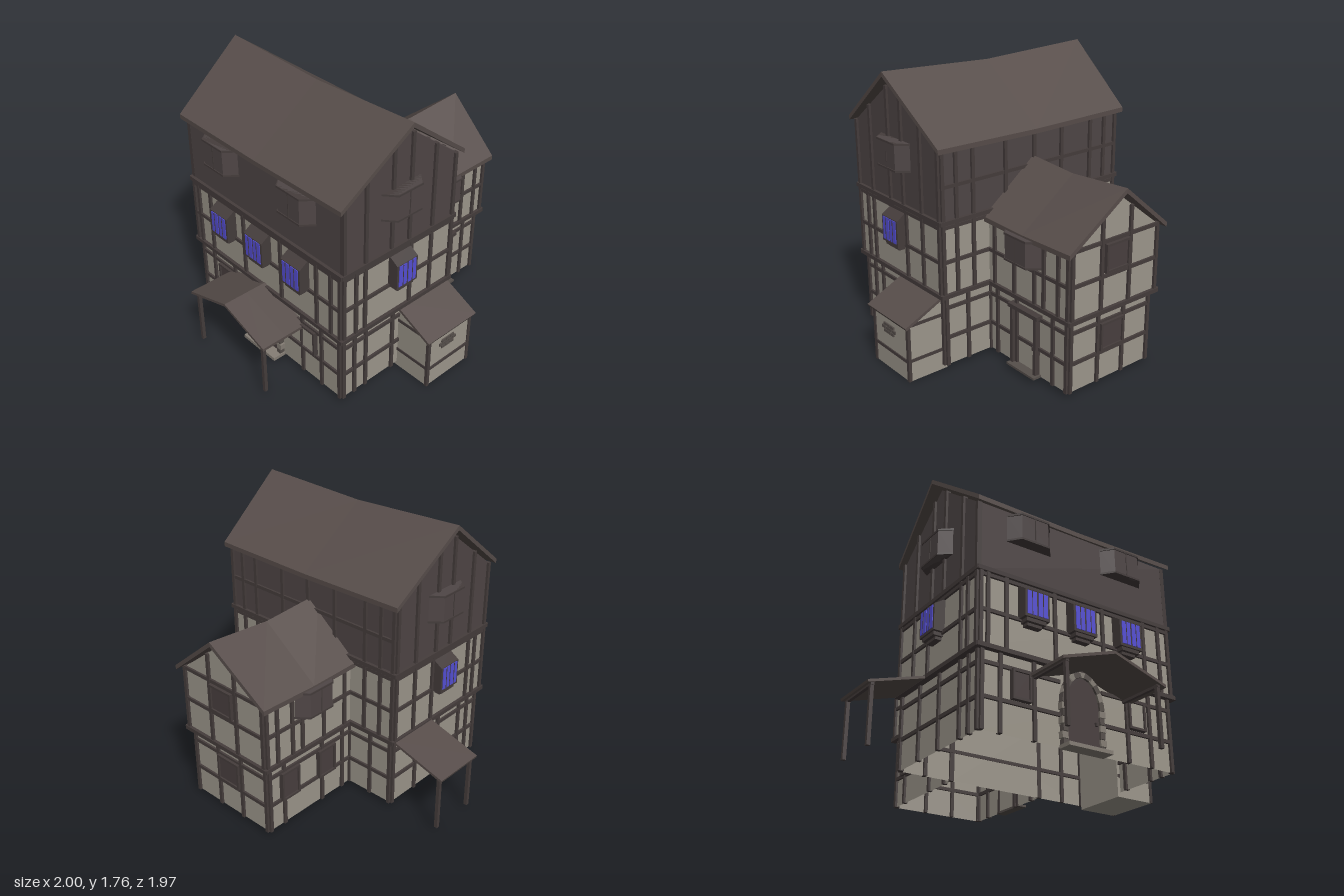
import * as THREE from 'three';

const mat = (name, color, side = THREE.FrontSide) => {
  const m = new THREE.MeshStandardMaterial({ color, side });
  m.name = name;
  return m;
};
const M = {
  plaster: mat('plaster', 0x9d978c, THREE.DoubleSide),
  boards: mat('dark boards', 0x4f4646, THREE.DoubleSide),
  beam: mat('timber', 0x453d3c),
  roof: mat('roof shingles', 0x574d4a),
  glass: mat('blue glass', 0x5650d6),
  door: mat('door wood', 0x493f3f),
  stone: mat('stone', 0x857e75),
  darkStone: mat('dark stone', 0x564f4b),
};

const CX = 0.055, CZ = 0.24; // centre of the main block

function add(parent, name, geo, material) {
  const m = new THREE.Mesh(geo, material);
  m.name = name;
  parent.add(m);
  return m;
}
// Box given by its centre and size
function box(parent, name, material, x, y, z, w, h, d) {
  const m = add(parent, name, new THREE.BoxGeometry(w, h, d), material);
  m.position.set(x, y, z);
  return m;
}
function extrude(points, depth) {
  const s = new THREE.Shape(points.map(p => new THREE.Vector2(...p)));
  return new THREE.ExtrudeGeometry(s, { depth, bevelEnabled: false });
}
// Side profile (z, y) swept across x, centred
const prism = (points, w) => extrude(points, w).rotateY(-Math.PI / 2).translate(w / 2, 0, 0);

// Sagging gable roof: ridge along x, longer at the ridge than at the eaves
function roofGeometry(ridgeHalf, eaveHalf, w, eaveY, ridgeY, sag, t) {
  const section = k => {
    const r = ridgeHalf * k, e = eaveHalf * k, ry = ridgeY - sag * (1 - Math.abs(k)), ey = eaveY - sag * 0.3 * (1 - Math.abs(k));
    return [[e, ey, w], [r, ry, 0], [e, ey, -w], [e, ey - t, -w], [r, ry - t, 0], [e, ey - t, w]];
  };
  const pos = [], quad = (a, b, c, d) => pos.push(...a, ...b, ...c, ...a, ...c, ...d);
  const S = [-1, 0, 1].map(section);
  for (let i = 0; i < 2; i++)
    for (let j = 0; j < 6; j++) {
      const n = (j + 1) % 6;
      quad(S[i][j], S[i + 1][j], S[i + 1][n], S[i][n]);
    }
  const [a, , b] = S;
  quad(a[0], a[1], a[4], a[5]);
  quad(a[1], a[2], a[3], a[4]);
  quad(b[5], b[4], b[1], b[0]);
  quad(b[4], b[3], b[2], b[1]);
  const g = new THREE.BufferGeometry();
  g.setAttribute('position', new THREE.Float32BufferAttribute(pos, 3));
  g.computeVertexNormals();
  return g;
}
// Thin sloping lean-to roof between two (x, y) points
function slab(parent, name, x0, y0, x1, y1, z, d, t) {
  const m = box(parent, name, M.roof, (x0 + x1) / 2, (y0 + y1) / 2, z, Math.hypot(x1 - x0, y1 - y0), t, d);
  m.rotation.z = Math.atan2(y1 - y0, x1 - x0);
}
// Wall frame of reference: local x runs along the wall, local z points outward
function face(parent, name, x, z, ry) {
  const g = new THREE.Group();
  g.name = name;
  g.position.set(x, 0, z);
  g.rotation.y = ry;
  parent.add(g);
  return g;
}
// Timber framing of one wall: corner posts, studs, rails
function framing(g, half, y0, y1, studs, rails, top = () => y1) {
  for (const u of [-half + 0.01, ...studs, half - 0.01]) {
    const h = top(u) - y0;
    box(g, 'stud', M.beam, u, y0 + h / 2, 0, 0.022, h, 0.03);
  }
  for (const y of rails) box(g, 'rail', M.beam, 0, y, 0, half * 2, 0.022, 0.026);
}
const band = (g, half, y) => box(g, 'floorBeam', M.beam, 0, y, 0, half * 2 + 0.03, 0.026, 0.04);

// Small projecting window with two blue panes
function bayWindow(parent, u) {
  const g = face(parent, 'bayWindow', u, 0, 0);
  add(g, 'bayCase', prism([[0, 0.71], [0.07, 0.71], [0.07, 0.875], [0, 0.92]], 0.165), M.beam);
  for (const s of [-1, 1]) box(g, 'pane', M.glass, s * 0.037, 0.798, 0.071, 0.062, 0.145, 0.006);
  for (const s of [-1, 1]) box(g, 'glazingBar', M.beam, s * 0.037, 0.798, 0.073, 0.004, 0.145, 0.006);
  box(g, 'bracket', M.beam, 0, 0.7, 0.03, 0.13, 0.025, 0.06);
  box(g, 'bracketFoot', M.beam, 0, 0.68, 0.02, 0.1, 0.02, 0.04);
}
// Shuttered window with splayed sides
function oriel(parent, u, y, h) {
  const g = face(parent, 'oriel', u, 0, 0);
  const plan = (a, b, d) => [[-a, 0], [a, 0], [b, -d], [-b, -d]].reverse();
  const put = (name, m, p, y0, hh) => add(g, name, extrude(p, hh).rotateX(-Math.PI / 2).translate(0, y0, 0), m);
  put('orielCase', M.boards, plan(0.15, 0.09, 0.068), y, h);
  put('orielSill', M.beam, plan(0.155, 0.095, 0.073), y, 0.012);
  put('orielHead', M.beam, plan(0.155, 0.095, 0.073), y + h - 0.012, 0.012);
  box(g, 'centrePost', M.beam, 0, y + h / 2, 0.068, 0.006, h, 0.006);
}
// Flat framed window
function flatWindow(g, u, y0, w, h, material) {
  box(g, 'shutter', material, u, y0 + h / 2, 0.015, w, h, 0.009);
  for (const s of [-1, 1]) {
    box(g, 'windowJamb', M.beam, u + s * w / 2, y0 + h / 2, 0.015, 0.014, h, 0.03);
    box(g, 'windowRail', M.beam, u, y0 + h / 2 + s * h / 2, 0.015, w + 0.014, 0.014, 0.03);
  }
}
// Arched front door in a stone surround
function archDoor(g, u) {
  const d = face(g, 'frontDoor', u, 0, 0);
  const pts = [[-0.115, 0.03], [0.115, 0.03]];
  for (let i = 0; i <= 12; i++) {
    const a = Math.PI * i / 12;
    pts.push([0.115 * Math.cos(a), 0.28 + 0.18 * Math.sin(a)]);
  }
  add(d, 'doorLeaf', extrude(pts, 0.022), M.door);
  for (const s of [-1, 1])
    for (let i = 0; i < 6; i++)
      box(d, 'jambStone', i % 2 ? M.stone : M.darkStone, s * (0.128 + (i % 2) * 0.004), 0.055 + i * 0.042, 0.01, 0.032 + (i % 2) * 0.008, 0.038, 0.05);
  for (let i = 0; i < 11; i++) {
    const a = Math.PI * (i + 0.5) / 11;
    const b = box(d, 'archStone', i % 2 ? M.stone : M.darkStone, 0.13 * Math.cos(a), 0.285 + 0.188 * Math.sin(a), 0.01, 0.032, 0.05, 0.05);
    b.rotation.z = Math.atan2(0.188 * Math.cos(a), -0.13 * Math.sin(a)) - Math.PI / 2;
  }
  box(d, 'doorKnob', M.beam, 0.09, 0.2, 0.028, 0.015, 0.02, 0.015);
  box(d, 'doorStep', M.stone, 0, 0.032, 0.045, 0.3, 0.022, 0.09);
}

export function createModel() {
  const house = new THREE.Group();
  house.name = 'timberHouse';
  const PI = Math.PI;

  // Storeys; ground floors are open underneath
  const storey = (name, m, x, z, hw, hd, y0, y1, open) => {
    const b = box(house, name, m, x, (y0 + y1) / 2, z, hw * 2, y1 - y0, hd * 2);
    if (open) b.geometry.setIndex([...b.geometry.index.array].filter((_, i) => i < 18 || i >= 24));
  };
  storey('groundFloor', M.plaster, CX, CZ, 0.665, 0.425, 0.03, 0.49, true);
  storey('middleFloor', M.plaster, CX, CZ, 0.685, 0.44, 0.49, 0.955);
  storey('topFloor', M.boards, CX, CZ, 0.685, 0.44, 0.955, 1.385);
  storey('wingGround', M.plaster, CX, -0.53, 0.32, 0.355, 0.03, 0.49, true);
  storey('wingUpper', M.plaster, CX, -0.54, 0.34, 0.37, 0.49, 0.92);

  // Gables and roofs
  add(house, 'mainGable', prism([[-0.44, 1.38], [0.44, 1.38], [0, 1.715]], 1.37).translate(CX, 0, CZ), M.boards);
  add(house, 'wingGable', extrude([[-0.34, 0.915], [0.34, 0.915], [0, 1.18]], 0.74).translate(CX, 0, -0.91), M.plaster);
  add(house, 'mainRoof', roofGeometry(0.757, 0.715, 0.475, 1.405, 1.765, 0.03, 0.03), M.roof).position.set(CX, 0, CZ);
  const wr = add(house, 'wingRoof', roofGeometry(0.433, 0.395, 0.38, 0.925, 1.23, 0.03, 0.03), M.roof);
  wr.position.set(CX, 0, -0.55);
  wr.rotation.y = PI / 2;

  // Long walls
  const front0 = face(house, 'frontGroundWall', CX, CZ + 0.425, 0);
  framing(front0, 0.665, 0.03, 0.49, [-0.54, -0.32, 0.33, 0.5], []);
  for (const s of [-1, 1]) for (const y of [0.215, 0.41])
    box(front0, 'rail', M.beam, s * 0.4, y, 0, 0.51, 0.022, 0.026);
  archDoor(front0, -0.005);
  flatWindow(front0, -0.41, 0.24, 0.11, 0.16, M.door);
  flatWindow(front0, 0.395, 0.24, 0.11, 0.16, M.plaster);
  const front1 = face(house, 'frontMiddleWall', CX, CZ + 0.44, 0);
  framing(front1, 0.685, 0.49, 0.955, [-0.63, -0.51, -0.18, 0.165, 0.48, 0.6], [0.71, 0.925]);
  for (const u of [-0.345, -0.01, 0.33]) bayWindow(front1, u);
  for (const s of [-1, 1]) oriel(front1, s * 0.34 - 0.01, 1.185, 0.175);
  const back0 = face(house, 'backGroundWall', CX, CZ - 0.425, PI);
  framing(back0, 0.665, 0.03, 0.49, [-0.5, 0.5], [0.215, 0.41]);
  const back1 = face(house, 'backUpperWall', CX, CZ - 0.44, PI);
  framing(back1, 0.685, 0.49, 1.38, [-0.58, -0.46, -0.22, 0, 0.22, 0.46, 0.58], [0.71, 0.925, 1.17]);
  for (const g of [front1, back1]) for (const y of [0.495, 0.955]) band(g, 0.685, y);

  // Gable-end walls
  for (const s of [-1, 1]) {
    const g0 = face(house, 'sideGroundWall', CX + s * 0.665, CZ, s * PI / 2);
    framing(g0, 0.425, 0.03, 0.49, [-0.33, -0.24, -0.02, 0.2].map(u => u * s), [0.215, 0.41]);
    const g1 = face(house, 'sideUpperWall', CX + s * 0.685, CZ, s * PI / 2);
    framing(g1, 0.44, 0.49, 0.955, [-0.34, -0.27, 0.09, 0.26].map(u => u * s), [0.71, 0.925]);
    framing(g1, 0.44, 0.955, 1.38, [-0.27, -0.07, 0.07, 0.26].map(u => u * s), [], u => 1.38 + (0.44 - Math.abs(u)) * 0.765);
    for (const y of [0.495, 0.955]) band(g1, 0.44, y);
    bayWindow(g1, 0);
    oriel(g1, 0, 1.185, 0.175);

    // Wing side walls
    const w0 = face(house, 'wingSideGround', CX + s * 0.32, -0.53, s * PI / 2);
    framing(w0, 0.355, 0.03, 0.49, [-0.27, -0.09, 0.23].map(u => u * s), [0.215, 0.41]);
    const w1 = face(house, 'wingSideUpper', CX + s * 0.34, -0.54, s * PI / 2);
    framing(w1, 0.37, 0.49, 0.915, [-0.28, -0.1, 0.08, 0.16, 0.28].map(u => u * s), [0.71, 0.905]);
    band(w1, 0.37, 0.495);
    oriel(w1, -0.02 * s, 0.735, 0.17);
    if (s > 0) {
      for (const u of [-0.11, 0.1]) box(w0, 'sideDoorPost', M.beam, u, 0.23, 0.015, 0.022, 0.4, 0.04);
      box(w0, 'sideDoorLintel', M.beam, 0, 0.425, 0.02, 0.26, 0.025, 0.05);
      box(w0, 'sideDoorStep', M.darkStone, 0, 0.037, 0.03, 0.25, 0.014, 0.06);
      box(w0, 'sideDoorKnob', M.beam, 0.08, 0.21, 0.02, 0.015, 0.025, 0.02);
    } else for (const u of [-0.19, 0.12]) flatWindow(w0, u, 0.22, 0.13, 0.18, M.door);
  }

  // Wing back wall
  const wb0 = face(house, 'wingBackGround', CX, -0.885, PI);
  framing(wb0, 0.32, 0.03, 0.49, [-0.1, 0.1], [0.215, 0.41]);
  flatWindow(wb0, 0, 0.24, 0.17, 0.16, M.door);
  const wb1 = face(house, 'wingBackUpper', CX, -0.91, PI);
  framing(wb1, 0.34, 0.49, 0.915, [-0.11, 0.11], [0.71, 0.92], u => 0.915 + (0.34 - Math.abs(u)) * 0.77);
  band(wb1, 0.34, 0.495);
  flatWindow(wb1, 0, 0.74, 0.17, 0.16, M.door);

  // Front porch
  const porch = face(house, 'frontPorch', 0.05, 0.82, 0);
  add(porch, 'porchRoof', roofGeometry(0.165, 0.165, 0.355, 0.4, 0.515, 0, 0.018), M.roof).rotation.y = PI / 2;
  for (const s of [-1, 1]) {
    box(porch, 'porchPost', M.beam, s * 0.315, 0.215, 0.135, 0.022, 0.37, 0.022);
    box(porch, 'porchBeam', M.beam, s * 0.315, 0.392, 0, 0.02, 0.02, 0.3);
  }

  // Open lean-to on the right
  slab(house, 'canopyRoof', -0.62, 0.5, -0.998, 0.388, -0.025, 0.35, 0.016);
  for (const z of [-0.175, 0.125]) box(house, 'canopyPost', M.beam, -0.965, 0.21, z, 0.022, 0.36, 0.022);
  box(house, 'canopyBeam', M.beam, -0.965, 0.383, -0.025, 0.02, 0.018, 0.33);

  // Closed shed on the left
  const shed = face(house, 'shed', 0, 0, 0);
  add(shed, 'shedWalls', extrude([[0.7, 0], [0.97, 0], [0.97, 0.355], [0.7, 0.48]], 0.365).translate(0, 0, -0.165), M.plaster);
  slab(shed, 'shedRoof', 0.7, 0.5, 0.995, 0.36, 0.022, 0.415, 0.018);
  for (const z of [-0.16, 0.195]) {
    box(shed, 'shedPost', M.beam, 0.967, 0.175, z, 0.02, 0.35, 0.022);
    for (const y of [0.135, 0.365]) box(shed, 'shedRail', M.beam, 0.835, y, z, 0.265, 0.02, 0.02);
  }
  for (const y of [0.13, 0.35]) box(shed, 'shedRail', M.beam, 0.968, y, 0.018, 0.018, 0.02, 0.36);
  // Bare bricks showing through the plaster
  [3, 4, 3].forEach((n, r) => {
    for (let i = 0; i < n; i++)
      box(shed, 'brick', M.darkStone, 0.972, 0.247 + r * 0.022, 0.035 + (i - (n - 1) / 2) * 0.036, 0.014, 0.019, 0.033);
  });
  return house;
}
